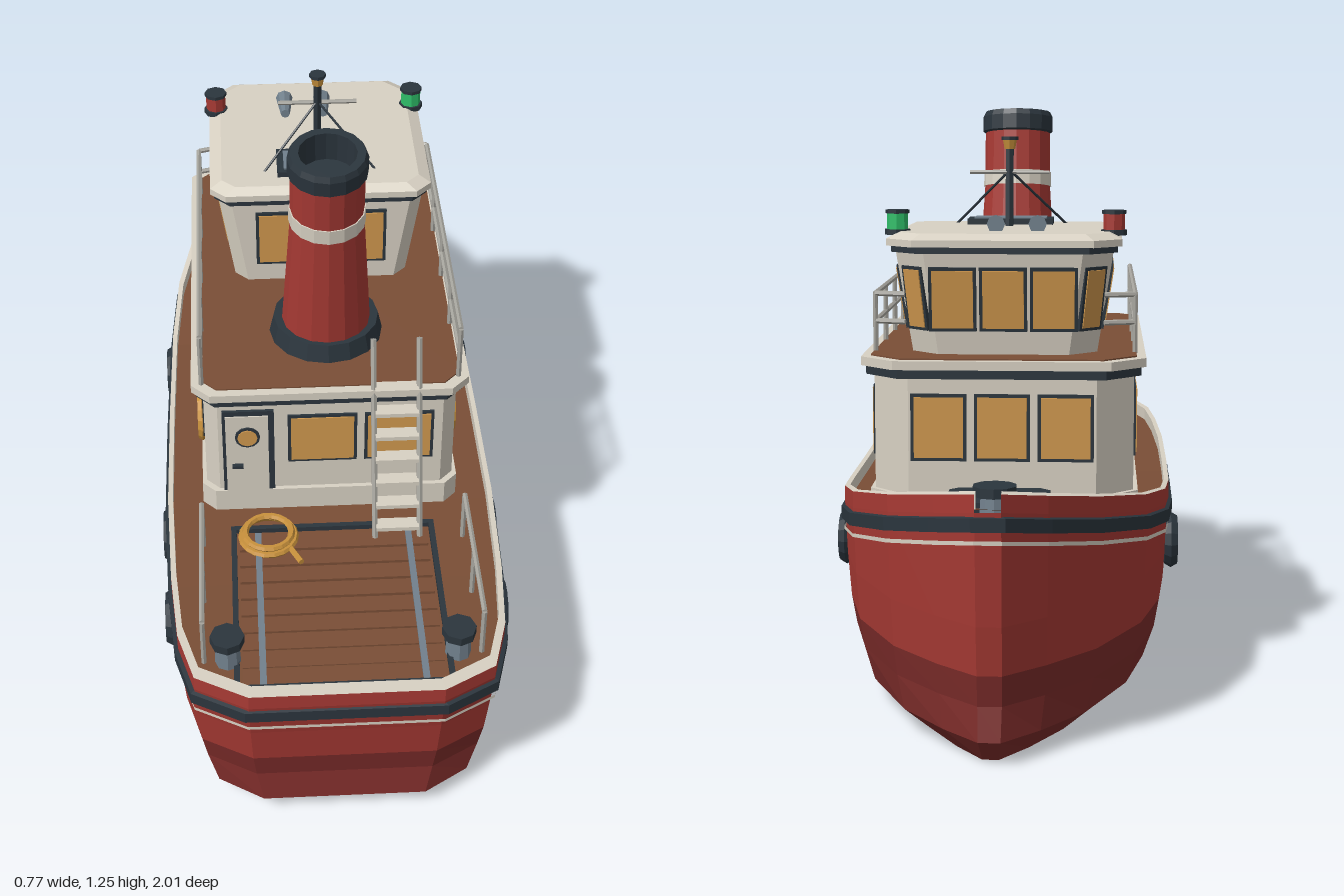
import * as THREE from 'three';

const mat = (name, color) => {
  const m = new THREE.MeshStandardMaterial({ color, side: THREE.DoubleSide });
  m.name = name;
  return m;
};
const V = (x, y, z) => new THREE.Vector3(x, y, z);

export function createModel() {
  const red = mat('hullRed', 0xa83a34), boot = mat('bottomRed', 0x7c2c2a), dark = mat('darkTrim', 0x2b353d);
  const white = mat('offWhite', 0xd8d1c3), wood = mat('deckWood', 0x7a4e36), glass = mat('amberGlass', 0xd0984e);
  const gold = mat('ropeGold', 0xc8913c), steel = mat('railSteel', 0xa6a49d);
  const green = mat('signalGreen', 0x2fc06a), slate = mat('slateBlue', 0x71808c);
  const model = new THREE.Group();
  model.name = 'tugboat';

  // Helpers: flat-shaded mesh, box, cylinder, rod between two points, loft through rings
  const add = (name, geo, material, pos = [0, 0, 0], parent = model) => {
    const g = geo.index ? geo.toNonIndexed() : geo;
    g.computeVertexNormals();
    const m = new THREE.Mesh(g, material);
    m.name = name;
    m.position.set(...pos);
    parent.add(m);
    return m;
  };
  const box = (name, w, h, d, material, pos, parent) => add(name, new THREE.BoxGeometry(w, h, d), material, pos, parent);
  const cyl = (name, rt, rb, h, material, pos, n = 8, parent = model) =>
    add(name, new THREE.CylinderGeometry(rt, rb, h, n), material, pos, parent);
  const rod = (name, a, b, r, material) => {
    const d = b.clone().sub(a);
    const m = cyl(name, r, r, d.length(), material, a.clone().add(b).multiplyScalar(0.5).toArray(), 6);
    m.quaternion.setFromUnitVectors(V(0, 1, 0), d.normalize());
    return m;
  };
  const loft = (rings, closed = true, cap = false) => {
    const p = [], tri = (a, b, c) => p.push(...a.toArray(), ...b.toArray(), ...c.toArray());
    const n = rings[0].length;
    for (let k = 0; k + 1 < rings.length; k++) {
      for (let i = 0; i < (closed ? n : n - 1); i++) {
        const j = (i + 1) % n, lo = rings[k], up = rings[k + 1];
        tri(lo[i], up[i], up[j]);
        tri(lo[i], up[j], lo[j]);
      }
    }
    if (cap) {
      [rings[0], rings[rings.length - 1]].forEach((r, e) => {
        const c = r.reduce((s, v) => s.add(v), V(0, 0, 0)).divideScalar(n);
        r.forEach((v, i) => (e ? tri(c, r[(i + 1) % n], v) : tri(c, v, r[(i + 1) % n])));
      });
    }
    const g = new THREE.BufferGeometry();
    g.setAttribute('position', new THREE.Float32BufferAttribute(p, 3));
    return g;
  };

  // Hull: one plan outline, scaled level by level, with a rising sheer at the bow
  const half = [[0.025, -1], [0.11, -0.92], [0.21, -0.8], [0.305, -0.6], [0.35, -0.4], [0.365, -0.2], [0.37, 0.1],
    [0.37, 0.4], [0.36, 0.65], [0.345, 0.82], [0.31, 0.94], [0.2, 1]];
  const plan = [...half, ...half.slice().reverse().map(([x, z]) => [-x, z])];
  const sheer = z => 0.4 + (z > 0 ? 0.015 * z * z : 0.14 * Math.pow(-z, 1.7));
  const level = (y, sx, sz) => plan.map(([x, z]) => V(x * sx, y, z * sz));
  const rail = (drop, s = 1, out = 0) => plan.map(([x, z]) =>
    V(x * s + Math.sign(x) * out, sheer(z) - drop, z * (s + out * 0.4)));
  const span = ring => {
    const n = ring.length / 2;
    return loft([ring.slice(0, n), ring.slice(n).reverse()], false);
  };
  const keel = level(0, 0.65, 0.92), water = level(0.18, 0.97, 0.963);
  add('hullBottom', loft([keel, level(0.05, 0.87, 0.967), level(0.117, 0.94, 0.953), water]), boot);
  add('keelPlate', span(keel), boot);
  add('hullSides', loft([water, level(0.28, 0.99, 0.978), rail(0.035)]), red);
  add('bulwark', loft([rail(0.035), rail(0)], false), red);
  add('bulwarkCap', loft([rail(0), rail(0, 0.97)], false), white);
  add('bulwarkInside', loft([rail(0, 0.97), rail(0.035, 0.97)], false), white);
  add('mainDeck', span(rail(0.03, 0.995)), wood);
  add('rubbingStrake', loft([rail(0.075, 0.985), rail(0.072, 1, 0.008), rail(0.045, 1, 0.008), rail(0.042, 0.99)]), dark);
  add('hullStripe', loft([rail(0.097, 1, 0.002), rail(0.089, 1, 0.002)]), white);

  // Chamfered houses
  const oct = (hx, z0, z1, cb, ca, y) => {
    const h = [[hx - cb, z0], [hx, z0 + cb], [hx, z1 - ca], [hx - ca, z1]];
    return [...h, ...h.slice().reverse().map(([x, z]) => [-x, z])].map(([x, z]) => V(x, y, z));
  };
  const slab = (name, hx, z0, z1, cb, ca, y0, y1, m) =>
    add(name, loft([oct(hx, z0, z1, cb, ca, y0), oct(hx, z0, z1, cb, ca, y1)], true, true), m);
  slab('deckhousePlinth', 0.29, -0.5, 0.405, 0.08, 0.03, 0.36, 0.43, white);
  slab('deckhouseWalls', 0.28, -0.495, 0.395, 0.08, 0.03, 0.43, 0.69, white);
  slab('deckhouseTrim', 0.295, -0.515, 0.41, 0.075, 0.04, 0.683, 0.705, dark);
  slab('deckhouseRoof', 0.305, -0.525, 0.42, 0.075, 0.04, 0.703, 0.722, white);
  slab('upperDeck', 0.285, -0.505, 0.4, 0.07, 0.035, 0.72, 0.725, wood);
  add('wheelhouseWalls', loft([oct(0.2, -0.43, 0, 0.06, 0.03, 0.722), oct(0.235, -0.46, 0.005, 0.065, 0.03, 0.95)], true, true), white);
  slab('wheelhouseTrim', 0.243, -0.468, 0.015, 0.06, 0.035, 0.943, 0.96, dark);
  add('wheelhouseRoof', loft([oct(0.252, -0.478, 0.02, 0.06, 0.035, 0.957), oct(0.252, -0.478, 0.02, 0.06, 0.035, 0.972),
    oct(0.225, -0.455, 0, 0.05, 0.03, 0.985)], true, true), white);

  // Windows: thin dark frame with an amber pane
  const windowAt = (x, y, z, w, h, turn, tilt = 0) => {
    const g = new THREE.Group();
    g.name = 'window';
    g.rotation.order = 'YXZ';
    g.rotation.set(tilt, turn, 0);
    g.position.set(x, y, z);
    box('windowFrame', w + 0.014, h + 0.014, 0.008, dark, [0, 0, 0], g);
    box('windowPane', w, h, 0.009, glass, [0, 0, 0.002], g);
    model.add(g);
  };
  const q = Math.PI / 2;
  for (const s of [1, -1]) {
    for (const z of [0.217, 0.037, -0.14, -0.32]) windowAt(s * 0.281, 0.577, z, 0.142, 0.138, s * q);
    for (const z of [-0.045, -0.145, -0.31].slice(1)) windowAt(s * 0.22, 0.845, z, 0.13, 0.125, s * q, 0.152);
    windowAt(s * 0.189, 0.845, -0.416, 0.05, 0.125, s * q * 1.5, 0.14);
    windowAt(s * 0.078, 0.845, 0.004, 0.13, 0.13, 0, 0.02);
  }
  for (const x of [-0.135, 0, 0.135]) windowAt(x, 0.577, -0.496, 0.105, 0.13, 2 * q);
  for (const x of [-0.108, 0, 0.108]) windowAt(x, 0.845, -0.447, 0.088, 0.125, 2 * q, 0.13);
  for (const x of [-0.018, 0.153]) windowAt(x, 0.575, 0.396, 0.14, 0.12, 0);

  // Door with porthole and handle
  box('doorFrame', 0.115, 0.25, 0.012, dark, [-0.183, 0.535, 0.396]);
  box('door', 0.095, 0.235, 0.016, white, [-0.186, 0.53, 0.397]);
  cyl('portholeRim', 0.028, 0.028, 0.008, dark, [-0.185, 0.59, 0.405], 12).rotation.x = q;
  cyl('porthole', 0.022, 0.022, 0.009, glass, [-0.185, 0.59, 0.407], 12).rotation.x = q;
  box('doorHandle', 0.025, 0.007, 0.012, dark, [-0.208, 0.508, 0.409]);

  // Raked funnel with open top
  cyl('funnelCollar', 0.118, 0.128, 0.045, dark, [0, 0.744, 0.195], 16);
  const funnel = new THREE.Group();
  funnel.name = 'funnel';
  funnel.position.set(0, 0.745, 0.2);
  funnel.rotation.x = 0.132;
  model.add(funnel);
  const lathe = (name, pts, m) =>
    add(name, new THREE.LatheGeometry(pts.map(p => new THREE.Vector2(...p)), 16), m, [0, 0, 0], funnel);
  lathe('funnelBody', [[0.1, 0], [0.08, 0.32], [0.08, 0.46]], red);
  lathe('funnelBand', [[0.081, 0.315], [0.0835, 0.315], [0.0825, 0.35], [0.08, 0.35]], white);
  lathe('funnelCap', [[0.078, 0.445], [0.086, 0.45], [0.086, 0.485], [0.08, 0.498], [0.062, 0.498], [0.06, 0.43], [0, 0.43]], dark);

  for (const s of [1, -1]) {
    // Upper deck railing
    for (const y of [0.79, 0.85]) {
      rod('upperRail', V(s * 0.282, y, 0.375), V(s * 0.282, y, -0.37), 0.006, steel);
      rod('upperRailReturn', V(s * 0.282, y, -0.37), V(s * 0.215, y, -0.39), 0.006, steel);
    }
    for (const z of [0.375, 0.19, 0.005, -0.18, -0.37]) rod('upperRailPost', V(s * 0.282, 0.72, z), V(s * 0.282, 0.85, z), 0.006, steel);
    // Stern railing
    rod('sternRail', V(s * 0.29, 0.5, 0.87), V(s * 0.29, 0.5, 0.52), 0.006, steel);
    for (const z of [0.87, 0.695, 0.52]) rod('sternRailPost', V(s * 0.29, 0.37, z), V(s * 0.29, 0.5, z), 0.006, steel);
    // Tyre fenders and lifebuoy
    for (const z of [0.64, 0.38, -0.225]) {
      add('tyreFender', new THREE.TorusGeometry(0.046, 0.017, 6, 14), dark, [s * (z > 0.6 ? 0.362 : 0.37), 0.275, z]).rotation.y = q;
    }
    add('lifebuoy', new THREE.TorusGeometry(0.053, 0.011, 6, 16), gold, [s * 0.288, 0.503, 0.215]).rotation.y = q;
    // Stern bollards
    cyl('bollardPost', 0.024, 0.028, 0.08, slate, [s * 0.24, 0.405, 0.87]);
    cyl('bollardCap', 0.036, 0.036, 0.02, dark, [s * 0.24, 0.448, 0.87]);
    // Navigation lights
    cyl('lightBase', 0.028, 0.028, 0.012, dark, [s * 0.235, 0.982, -0.345]);
    cyl('navigationLight', 0.023, 0.023, 0.04, s > 0 ? green : red, [s * 0.235, 1.004, -0.345]);
    cyl('lightCap', 0.026, 0.026, 0.008, dark, [s * 0.235, 1.026, -0.345]);
    // Ladder stringers, mast stays, horns, deck runners
    rod('ladderStringer', V(0.143 + s * 0.05, 0.38, 0.525), V(0.143 + s * 0.05, 0.83, 0.375), 0.007, steel);
    rod('mastStay', V(s * 0.13, 0.98, -0.06), V(0, 1.11, -0.158), 0.003, dark);
    const horn = cyl('horn', 0.02, 0.011, 0.075, slate, [s * 0.045 - 0.025, 1.0, -0.325]);
    horn.rotation.x = -q;
    box('deckRunner', 0.014, 0.006, 0.44, slate, [s * 0.168, 0.388, 0.725]);
    box('hatchEdgeSide', 0.012, 0.012, 0.47, dark, [s * 0.222, 0.384, 0.715]);
  }

  // Ladder treads
  for (let i = 0; i < 7; i++) {
    const t = 0.07 + i * 0.115;
    box('ladderTread', 0.095, 0.01, 0.032, white, [0.143, 0.38 + 0.45 * t, 0.525 - 0.15 * t]);
  }

  // Planked stern deck, sill and rope coil
  for (let i = 0; i < 9; i++) box('deckPlank', 0.42, 0.012, 0.042, wood, [0, 0.379, 0.53 + i * 0.049]);
  for (const z of [0.485, 0.95]) box('hatchEdgeEnd', 0.44, 0.012, 0.012, dark, [0, 0.384, z]);
  for (let i = 0; i < 2; i++) {
    add('ropeCoil', new THREE.TorusGeometry(0.06 - i * 0.008, 0.008, 6, 18), gold, [-0.145, 0.391 + i * 0.011, 0.515]).rotation.x = q;
  }
  rod('ropeTail', V(-0.1, 0.391, 0.55), V(-0.075, 0.391, 0.6), 0.007, gold);

  // Bow bollard and hatch
  cyl('bowBollardPost', 0.028, 0.034, 0.09, slate, [0, 0.46, -0.77], 10);
  cyl('bowBollardCap', 0.045, 0.045, 0.02, dark, [0, 0.5, -0.77], 10);
  add('bowHatch', loft([oct(0.105, -0.715, -0.565, 0.02, 0.02, 0.41), oct(0.105, -0.715, -0.565, 0.02, 0.02, 0.462)], true, true), dark);

  // Wheelhouse roof: skylight, mast and crossbar
  box('skylightFrame', 0.195, 0.016, 0.1, dark, [0, 0.99, -0.085]);
  box('skylightPane', 0.165, 0.006, 0.075, slate, [0, 0.998, -0.085]);
  rod('mast', V(0, 0.98, -0.175), V(0, 1.165, -0.153), 0.01, dark);
  rod('mastCrossbar', V(-0.09, 1.105, -0.162), V(0.09, 1.105, -0.162), 0.005, steel);
  cyl('mastLight', 0.016, 0.012, 0.022, gold, [0, 1.168, -0.152]);
  cyl('mastLightCap', 0.019, 0.019, 0.008, dark, [0, 1.181, -0.152]);
  return model;
}
